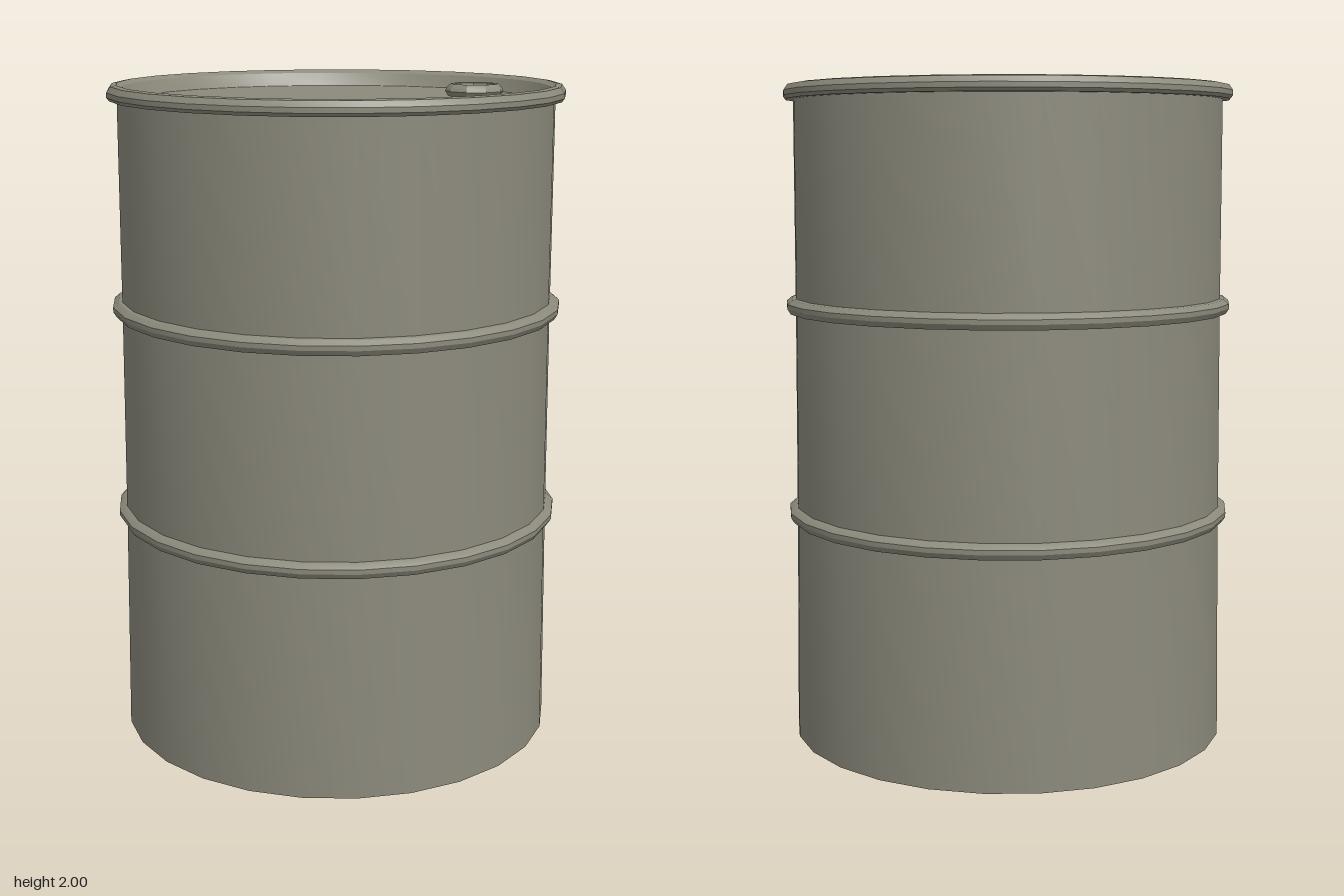
import * as THREE from 'three';
import { toCreasedNormals } from 'three/addons/utils/BufferGeometryUtils.js';

const SIDES = 26;

export function createModel() {
  const drum = new THREE.Group();
  drum.name = 'drum';
  const paint = new THREE.MeshStandardMaterial({ color: 0x8c8a7c });
  paint.name = 'greyPaint';

  // Turned part from [radius, height] pairs; outside runs upwards, creases stay sharp
  function turned(name, profile, sides = SIDES) {
    const points = profile.map(([r, y]) => new THREE.Vector2(r, y));
    const geometry = toCreasedNormals(new THREE.LatheGeometry(points, sides), 0.45);
    const mesh = new THREE.Mesh(geometry, paint);
    mesh.name = name;
    drum.add(mesh);
    return mesh;
  }

  // Recessed base with its standing edge
  turned('base', [[0, 0.04], [0.645, 0.04], [0.652, 0], [0.67, 0]]);

  // Three slightly tapering wall sections
  turned('lowerWall', [[0.67, 0], [0.661, 0.68]]);
  turned('middleWall', [[0.661, 0.715], [0.656, 1.32]]);
  turned('upperWall', [[0.656, 1.355], [0.654, 1.96]]);

  // Rolling hoops
  for (const [name, y, r] of [['lowerHoop', 0.698, 0.658], ['upperHoop', 1.337, 0.653]]) {
    turned(name, [[r, y - 0.022], [0.674, y - 0.022], [0.684, y - 0.006],
      [0.684, y + 0.008], [0.668, y + 0.021], [r, y + 0.024]]);
  }

  // Rolled top rim and recessed lid
  turned('rim', [[0.65, 1.955], [0.676, 1.955], [0.684, 1.965], [0.684, 1.98],
    [0.672, 1.997], [0.655, 2], [0.638, 1.99], [0.617, 1.95]]);
  turned('lid', [[0.617, 1.95], [0, 1.95]]);

  // Filler bung: collar, sunken plug and a small grip
  const bung = turned('bung', [[0.082, 0], [0.091, 0.015], [0.086, 0.026], [0.073, 0.037],
    [0.064, 0.035], [0.061, 0.016], [0, 0.016]], 9);
  bung.position.set(0.45, 1.95, 0);
  const grip = new THREE.Mesh(new THREE.BoxGeometry(0.035, 0.016, 0.018), paint);
  grip.name = 'bungGrip';
  grip.position.set(0.395, 1.974, 0.005);
  drum.add(grip);

  return drum;
}
